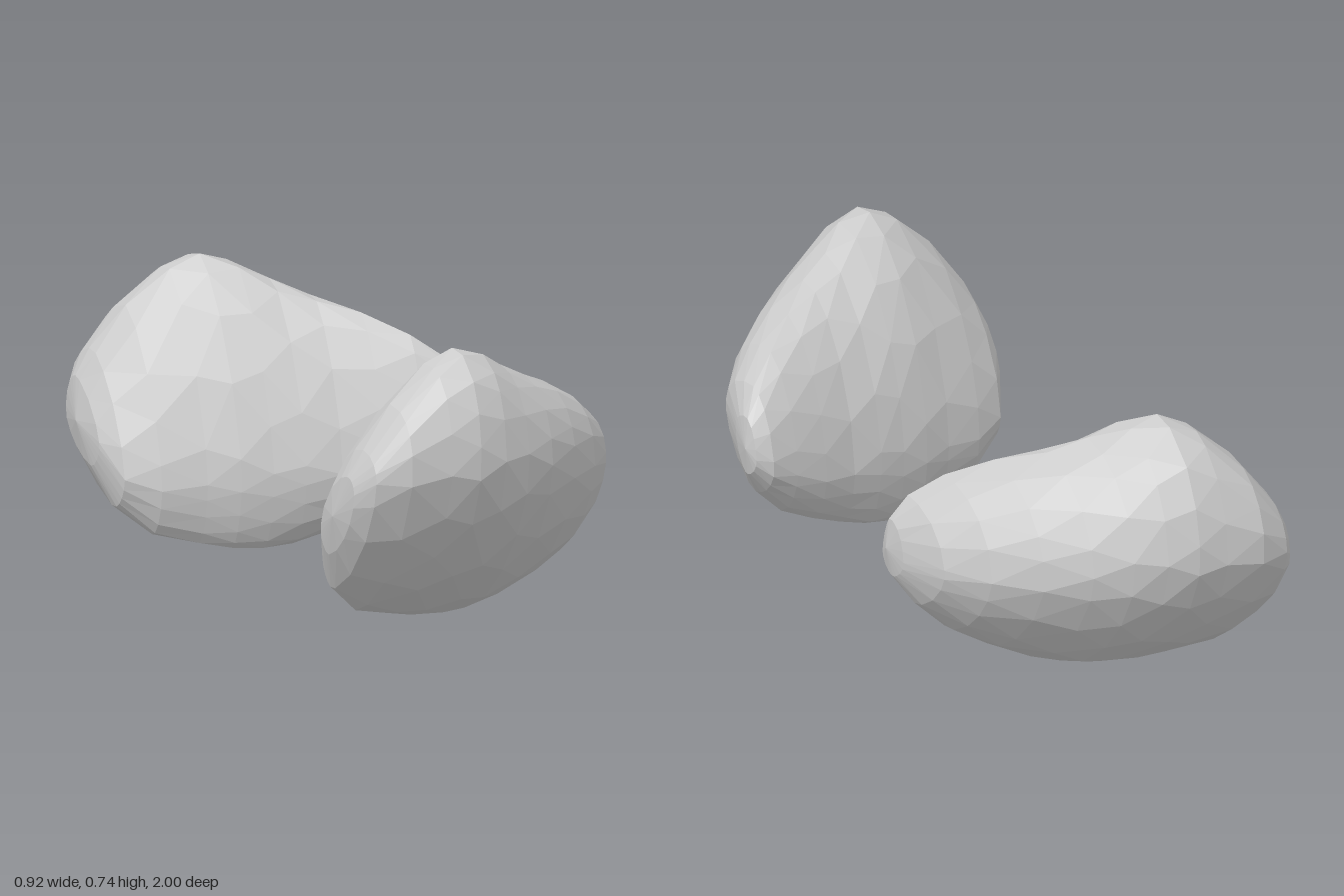
import * as THREE from 'three';

const SIDES = 18;

// Cross-sections along x: [x, zInner, zOuter, yBottom, yTop, zAtTop, zAtBottom, yAtInner, yAtOuter]
const SECTIONS = [
  [-0.443, 0.69, 0.90, 0.21, 0.43, 0.84, 0.74, 0.27, 0.36],
  [-0.405, 0.615, 0.955, 0.11, 0.50, 0.82, 0.68, 0.19, 0.40],
  [-0.32, 0.57, 0.995, 0.04, 0.61, 0.80, 0.63, 0.17, 0.43],
  [-0.21, 0.53, 1.00, 0.015, 0.705, 0.78, 0.59, 0.18, 0.43],
  [-0.13, 0.495, 1.00, 0.003, 0.738, 0.765, 0.56, 0.19, 0.43],
  [-0.05, 0.47, 0.98, 0.00, 0.722, 0.72, 0.54, 0.19, 0.42],
  [0.03, 0.445, 0.945, 0.007, 0.675, 0.665, 0.53, 0.20, 0.41],
  [0.12, 0.42, 0.89, 0.035, 0.635, 0.605, 0.52, 0.20, 0.40],
  [0.22, 0.385, 0.81, 0.075, 0.595, 0.53, 0.49, 0.22, 0.38],
  [0.32, 0.355, 0.71, 0.125, 0.545, 0.45, 0.46, 0.26, 0.37],
  [0.40, 0.333, 0.60, 0.20, 0.485, 0.40, 0.44, 0.29, 0.36],
  [0.445, 0.345, 0.46, 0.27, 0.425, 0.385, 0.40, 0.32, 0.35],
];
const START = [-0.46, 0.32, 0.80];
const END = [0.457, 0.345, 0.385];

// lean moves the crest outward, lift moves the outer bulge up;
// the powers shape the two upper quarters: 1 is an ellipse, more is flatter
const LOBES = [
  { name: 'frontLobe', side: 1, lean: 0.25, lift: 0.02, innerPower: 1.2, outerPower: 0.88 },
  { name: 'backLobe', side: -1, lean: 0, lift: -0.03, innerPower: 1.4, outerPower: 1 },
];

// Point of a section: four quarter arcs joined at its top, outer, bottom and inner extremes
function sectionPoint([x, zIn, zOut, yBot, yTop, zTop, zBot, yIn, yOut], t, lobe) {
  const c = Math.cos(t), s = Math.sin(t);
  const outer = s >= 0, upper = c >= 0;
  let p = outer ? 1.3 : 1.15;
  if (upper) p = outer ? lobe.outerPower : lobe.innerPower;
  const z0 = upper ? zTop + lobe.lean * (zOut - zTop) : zBot;
  const y0 = outer ? yOut + lobe.lift : yIn;
  return [
    x,
    y0 + ((upper ? yTop : yBot) - y0) * Math.abs(c) ** p,
    z0 + ((outer ? zOut : zIn) - z0) * Math.abs(s) ** p,
  ];
}

// Closed faceted lobe, mirrored in z when its side is -1
function lobeGeometry(lobe) {
  const positions = [...START], index = [];
  SECTIONS.forEach((section, i) => {
    for (let j = 0; j < SIDES; j++) {
      // staggered rings with a little unevenness give irregular facets
      const uneven = 0.2 * Math.sin(j * 5.3 + i * 3.7);
      const t = ((j + i / 2 + uneven) / SIDES) * Math.PI * 2;
      positions.push(...sectionPoint(section, t, lobe));
    }
  });
  positions.push(...END);
  const last = positions.length / 3 - 1;
  const at = (i, j) => 1 + i * SIDES + (j % SIDES);
  const face = (a, b, c) => (lobe.side > 0 ? index.push(a, b, c) : index.push(a, c, b));
  const top = SECTIONS.length - 1;
  for (let j = 0; j < SIDES; j++) {
    face(0, at(0, j + 1), at(0, j));
    for (let i = 0; i < top; i++) {
      face(at(i, j), at(i, j + 1), at(i + 1, j));
      face(at(i, j + 1), at(i + 1, j + 1), at(i + 1, j));
    }
    face(at(top, j), at(top, j + 1), last);
  }
  const geometry = new THREE.BufferGeometry();
  geometry.setAttribute('position', new THREE.Float32BufferAttribute(
    positions.map((v, k) => (k % 3 === 2 ? v * lobe.side : v)), 3));
  geometry.setIndex(index);
  const flat = geometry.toNonIndexed();
  flat.computeVertexNormals();
  return flat;
}

export function createModel() {
  const model = new THREE.Group();
  model.name = 'pairedLobes';
  const material = new THREE.MeshStandardMaterial({ color: 0xcccccc, flatShading: true });
  // Two lobes facing each other across the middle
  for (const lobe of LOBES) {
    const mesh = new THREE.Mesh(lobeGeometry(lobe), material);
    mesh.name = lobe.name;
    model.add(mesh);
  }
  return model;
}
